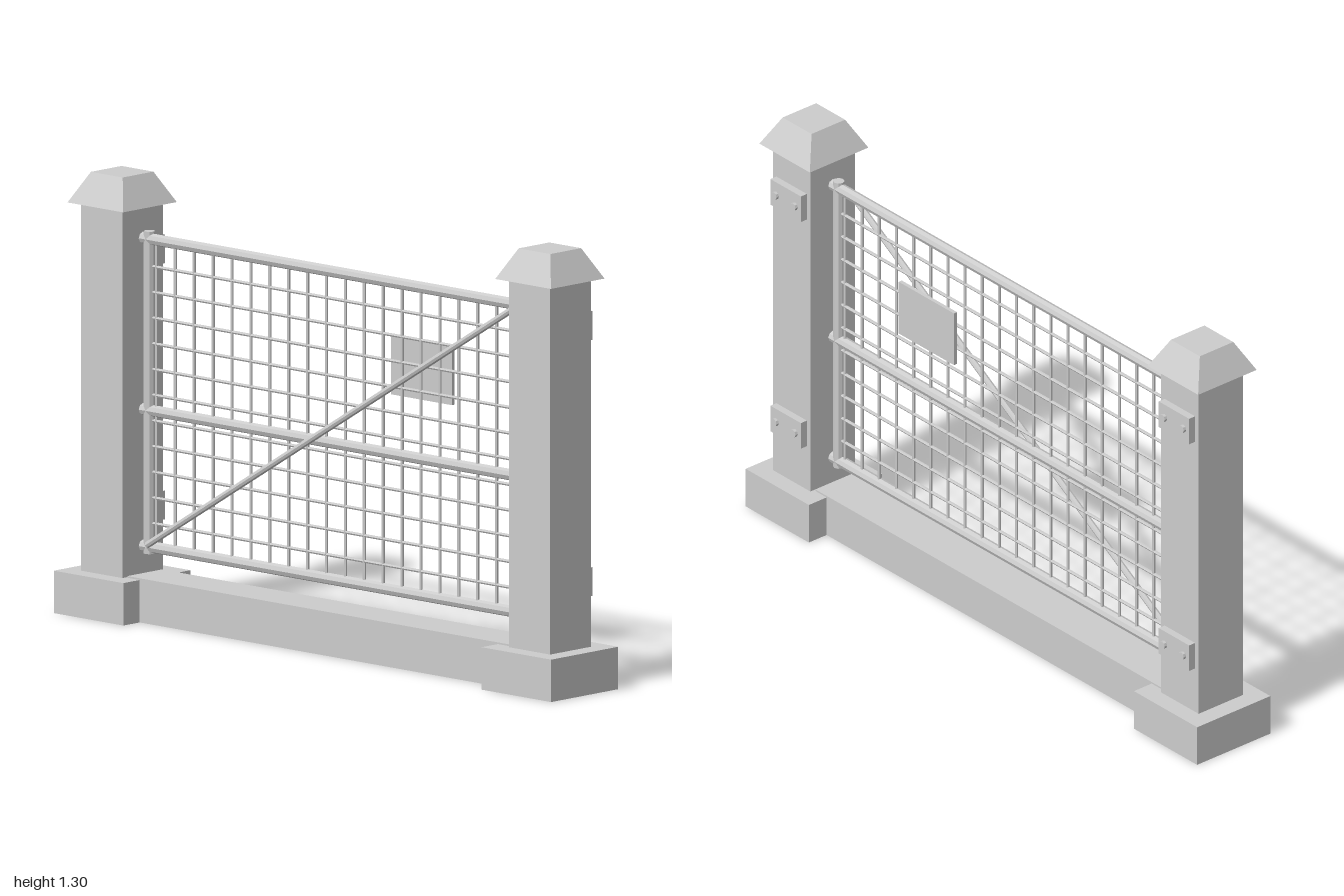
import * as THREE from 'three';

export function createModel() {
  const gate = new THREE.Group();
  gate.name = 'gate';
  const grey = new THREE.MeshStandardMaterial({ color: 0xcccccc, flatShading: true });
  grey.name = 'plain grey';

  const add = (name, geometry, x, y, z) => {
    const mesh = new THREE.Mesh(geometry, grey);
    mesh.name = name;
    mesh.position.set(x, y, z);
    gate.add(mesh);
    return mesh;
  };
  const box = (name, w, h, d, x, y, z) => add(name, new THREE.BoxGeometry(w, h, d), x, y, z);

  // Straight round bar between two points
  const bar = (name, from, to, radius, sides) => {
    const a = new THREE.Vector3(...from), b = new THREE.Vector3(...to);
    const dir = b.clone().sub(a);
    const geometry = new THREE.CylinderGeometry(radius, radius, dir.length(), sides);
    const mesh = add(name, geometry, ...a.clone().add(b).multiplyScalar(0.5).toArray());
    mesh.quaternion.setFromUnitVectors(new THREE.Vector3(0, 1, 0), dir.normalize());
    return mesh;
  };

  // Sill between the footings
  box('sill', 1.54, 0.13, 0.144, 0, 0.065, 0);

  for (const side of [-1, 1]) {
    const x = side * 0.86;
    box('footing', 0.28, 0.125, 0.28, x, 0.0625, 0);
    box('post', 0.166, 1.09, 0.17, x, 0.665, 0);

    // Square cap with sloping sides
    const cap = new THREE.CylinderGeometry(0.064 * Math.SQRT2, 0.112 * Math.SQRT2, 0.09, 4);
    cap.rotateY(Math.PI / 4);
    add('postCap', cap, x, 1.255, 0);

    // Bolted plates on the back of the post
    for (const y of [0.312, 1.067]) {
      box('hingePlate', 0.135, 0.085, 0.023, x, y, -0.0965);
      for (const dx of [-0.042, 0.042]) {
        bar('bolt', [x + dx, y, -0.1], [x + dx, y, -0.117], 0.012, 8);
      }
    }

    // Upright of the gate frame
    bar('frameUpright', [side * 0.75, 0.19, 0], [side * 0.75, 1.14, 0], 0.017, 8);
  }

  // Horizontal rails of the gate frame
  for (const y of [0.21, 0.612, 1.117]) {
    bar('frameRail', [-0.778, y, 0], [0.778, y, 0], 0.017, 8);
  }

  // Wire mesh infill
  for (let i = 0; i < 20; i++) {
    const x = (i - 9.5) * 0.076;
    bar('verticalWire', [x, 0.21, 0], [x, 1.117, 0], 0.005, 6);
  }
  for (let i = 0; i < 11; i++) {
    const y = 0.28 + i * 0.0757;
    bar('horizontalWire', [-0.75, y, 0], [0.75, y, 0], 0.005, 6);
  }

  // Diagonal brace across the front
  bar('diagonalBrace', [-0.735, 0.22, 0.024], [0.735, 1.108, 0.024], 0.01, 8);

  // Blank sign on the back
  box('sign', 0.245, 0.172, 0.012, 0.318, 0.865, -0.032);

  return gate;
}
